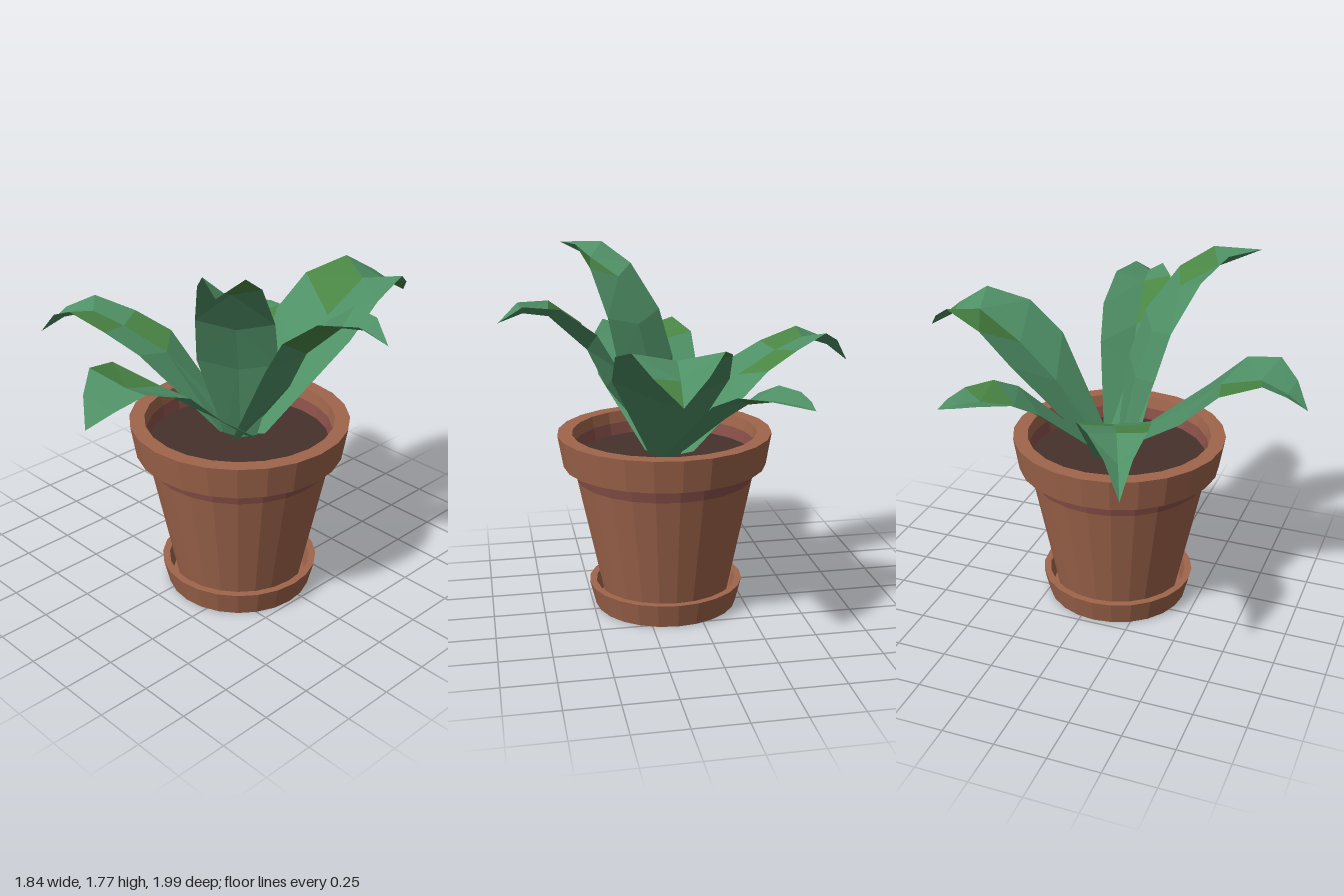
import * as THREE from 'three';

const SIDES = 24;
const CX = 0.13, CZ = 0.07; // pot axis

const mat = (color) => new THREE.MeshStandardMaterial({ color, flatShading: true, side: THREE.DoubleSide });
const clay = mat(0xa0664c), band = mat(0x8a5049), soilMat = mat(0x46322b);
const green = mat(0x4f9066), lime = mat(0x4a8644);

function lathe(name, profile, material) {
  const pts = profile.map(([r, y]) => new THREE.Vector2(r, y));
  const m = new THREE.Mesh(new THREE.LatheGeometry(pts, SIDES), material);
  m.name = name;
  m.position.set(CX, 0, CZ);
  return m;
}

function triangles(name, pts, material) {
  const geo = new THREE.BufferGeometry().setFromPoints(pts);
  geo.computeVertexNormals();
  const m = new THREE.Mesh(geo, material);
  m.name = name;
  return m;
}

// A leaf is a V-shaped strip. Each row: [half width, rib reach, rib y, edge reach, edge y].
// base and tip are [x, z] points; accents lists "segment,side" faces in the second green.
function leaf({ name, base, tip, tipY, rows, accents }) {
  const dir = new THREE.Vector2(tip[0] - base[0], tip[1] - base[1]);
  const len = dir.length();
  dir.normalize();
  const at = (r, w, y) => new THREE.Vector3(base[0] + dir.x * r - dir.y * w, y, base[1] + dir.y * r + dir.x * w);
  const all = [[0.08, 0, 0.77, 0.02, 0.8], ...rows, [0, len, tipY, len, tipY]];
  const plain = [], accent = [];
  for (let i = 0; i < all.length - 1; i++) {
    const [w0, m0, my0, e0, ey0] = all[i];
    const [w1, m1, my1, e1, ey1] = all[i + 1];
    for (const s of [-1, 1]) {
      const a = at(m0, 0, my0), b = at(e0, s * w0, ey0);
      const c = at(e1, s * w1, ey1), d = at(m1, 0, my1);
      const out = accents.includes(`${i},${s}`) ? accent : plain;
      // the upper face is the front
      if (s < 0) out.push(a, d, b, b, d, c);
      else out.push(a, b, d, b, c, d);
    }
  }
  const g = new THREE.Group();
  g.name = name;
  g.add(triangles('blade', plain, green), triangles('bladeAccent', accent, lime));
  return g;
}

const LEAVES = [
  { name: 'backLeaf', base: [0.14, 0], tip: [0.23, -1.0], tipY: 1.28, accents: ['2,-1', '4,1'],
    rows: [[0.265, 0.28, 1.1, 0.38, 1.25], [0.255, 0.48, 1.27, 0.56, 1.4],
      [0.195, 0.71, 1.41, 0.78, 1.46], [0.115, 0.87, 1.36, 0.9, 1.38]] },
  { name: 'frontLeaf', base: [0.15, 0.03], tip: [0.15, 0.99], tipY: 1.15, accents: ['2,1'],
    rows: [[0.26, 0.39, 1.09, 0.42, 1.1], [0.26, 0.54, 1.22, 0.6, 1.27],
      [0.19, 0.73, 1.27, 0.78, 1.32], [0.11, 0.86, 1.22, 0.88, 1.25]] },
  { name: 'rightLeaf', base: [0.05, 0.05], tip: [-0.92, 0.45], tipY: 1.12, accents: ['2,-1', '1,1'],
    rows: [[0.17, 0.34, 1.13, 0.4, 1.17], [0.157, 0.57, 1.23, 0.59, 1.25],
      [0.125, 0.74, 1.28, 0.8, 1.31], [0.06, 0.91, 1.22, 0.93, 1.25]] },
  { name: 'leftLeaf', base: [0.13, 0.07], tip: [0.92, -0.03], tipY: 1.47, accents: ['2,1'],
    rows: [[0.16, 0.29, 1.13, 0.27, 1.25], [0.17, 0.38, 1.32, 0.37, 1.42],
      [0.14, 0.56, 1.49, 0.53, 1.54], [0.07, 0.68, 1.51, 0.69, 1.55]] },
  { name: 'backRightLeaf', base: [0.1, 0], tip: [-0.43, -0.63], tipY: 1.14, accents: ['2,1'],
    rows: [[0.18, 0.32, 1.02, 0.38, 1.12], [0.16, 0.45, 1.11, 0.51, 1.18],
      [0.12, 0.62, 1.15, 0.66, 1.18], [0.06, 0.74, 1.15, 0.76, 1.16]] },
  { name: 'tallLeaf', base: [0.13, 0.06], tip: [0.57, 0.63], tipY: 1.76, accents: ['3,-1'],
    rows: [[0.19, 0.09, 1.17, 0.12, 1.22], [0.18, 0.17, 1.4, 0.2, 1.45],
      [0.14, 0.305, 1.62, 0.356, 1.67], [0.09, 0.5, 1.7, 0.51, 1.77]] },
];

export function createModel() {
  const root = new THREE.Group();
  root.name = 'pottedPlant';

  // Saucer, open dish with a raised lip
  root.add(lathe('saucer', [[0, 0], [0.355, 0], [0.385, 0.12], [0.35, 0.12], [0.33, 0.03], [0, 0.03]], clay));
  // Tapered pot wall and the darker band under the rim
  root.add(lathe('potBody', [[0, 0.03], [0.305, 0.03], [0.435, 0.66]], clay));
  root.add(lathe('potBand', [[0.435, 0.66], [0.45, 0.735]], band));
  // Thick rim, with the inner wall going down to the soil
  root.add(lathe('potRim', [[0.45, 0.73], [0.5, 0.73], [0.527, 0.89], [0.455, 0.89], [0.445, 0.83]], clay));
  root.add(lathe('innerWall', [[0.445, 0.83], [0.43, 0.74]], band));
  root.add(lathe('soil', [[0.435, 0.77], [0, 0.77]], soilMat));

  const foliage = new THREE.Group();
  foliage.name = 'foliage';
  for (const spec of LEAVES) foliage.add(leaf(spec));
  root.add(foliage);
  return root;
}
